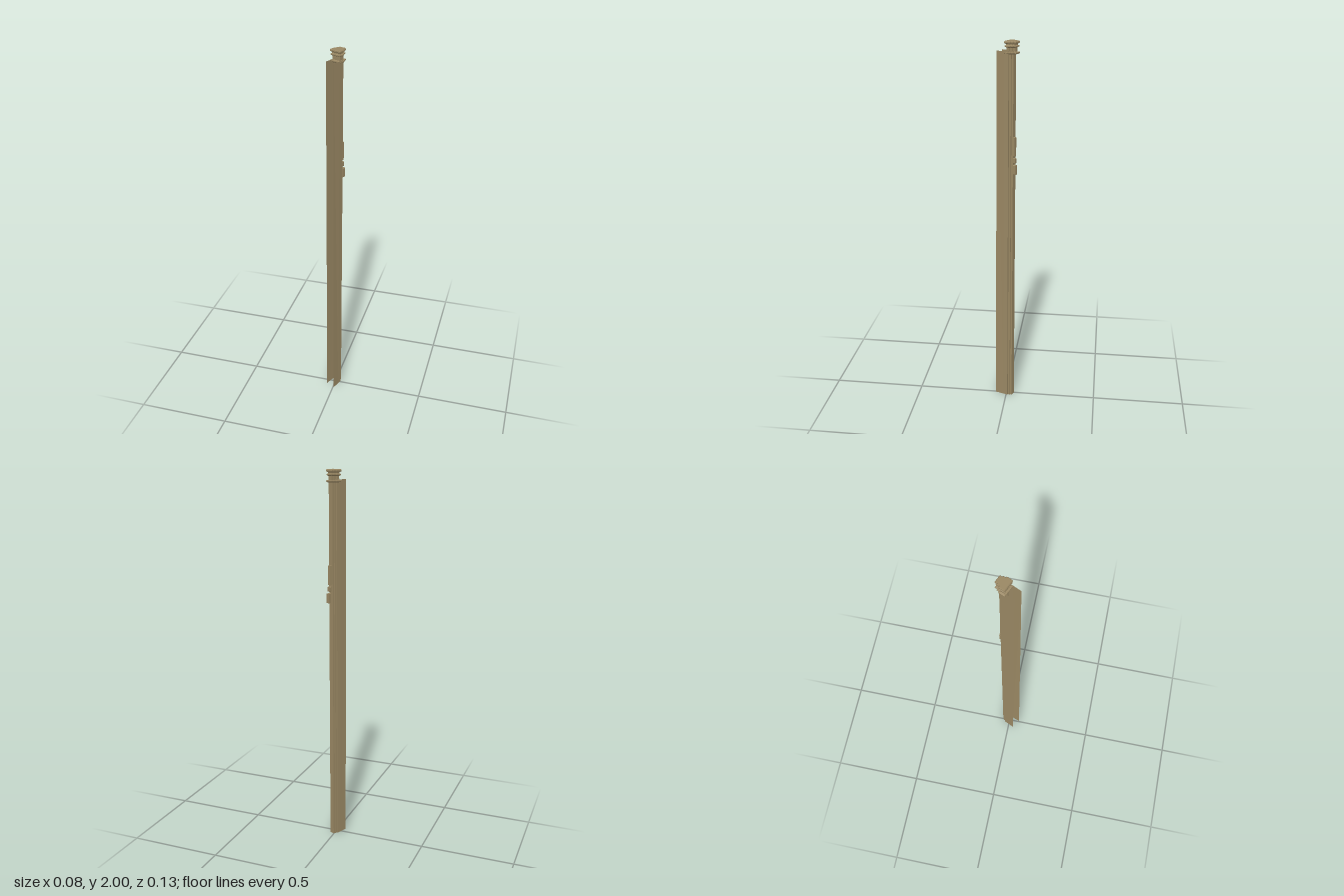
import * as THREE from 'three';

// Plan coordinates: u runs across the post, v towards its open side; the plan is turned in x/z.
const C = 0.916, S = 0.401;
const place = (u, v, y) => [C * u - S * v, y, S * u + C * v];

// Open or closed skin between stacked rings of [u, v] points.
function skin(rings, heights, closed) {
  const pos = [], n = rings[0].length;
  for (let k = 0; k + 1 < rings.length; k++) {
    for (let i = 0; i < (closed ? n : n - 1); i++) {
      const j = (i + 1) % n;
      const a = place(...rings[k][i], heights[k]), b = place(...rings[k][j], heights[k]);
      const c = place(...rings[k + 1][j], heights[k + 1]), d = place(...rings[k + 1][i], heights[k + 1]);
      pos.push(...a, ...b, ...c, ...a, ...c, ...d);
    }
  }
  if (closed) {
    // flat ends
    for (const k of [0, rings.length - 1]) {
      const contour = rings[k].map(([u, v]) => new THREE.Vector2(u, v));
      for (const f of THREE.ShapeUtils.triangulateShape(contour, [])) {
        for (const i of f) pos.push(...place(...rings[k][i], heights[k]));
      }
    }
  }
  const g = new THREE.BufferGeometry();
  g.setAttribute('position', new THREE.Float32BufferAttribute(pos, 3));
  g.computeVertexNormals();
  return g;
}

// Stepped outline of the capital, shrunk by d on every side.
function capRing(d) {
  const mid = -0.0055, front = -0.0015 - d;
  const steps = [[0.031, -0.035], [0.0245, -0.048], [0.0192, -0.0615]];
  const right = [[steps[0][0] - d, front]];
  steps.forEach(([w, v], i) => {
    right.push([w - d, v + d]);
    if (i < 2) right.push([steps[i + 1][0] - d, v + d]);
  });
  const left = right.map(([w, v]) => [mid - w, v]).reverse();
  return [...right.map(([w, v]) => [mid + w, v]), ...left];
}

export function createModel() {
  const group = new THREE.Group();
  const tan = new THREE.MeshStandardMaterial({ color: 0x998763, side: THREE.DoubleSide });
  tan.name = 'tanMetal';

  const add = (name, geometry) => {
    const mesh = new THREE.Mesh(geometry, tan);
    mesh.name = name;
    group.add(mesh);
  };

  // Post: stepped channel leaning slightly forward at the foot
  const section = [[-0.0264, -0.0015], [-0.0264, -0.025], [-0.021, -0.025], [-0.021, -0.036],
    [-0.016, -0.036], [-0.016, -0.046], [0.010, -0.046], [0.010, -0.036],
    [0.016, -0.036], [0.016, -0.025], [0.0235, -0.025], [0.0245, -0.0015]];
  const foot = section.map(([u, v]) => [u, v + 0.007]);
  add('post', skin([foot, section], [0, 1.95], false));

  // Thin side flanges
  const last = section.length - 1;
  add('rightFlange', skin([[foot[0], [-0.0262, 0.046]], [section[0], [-0.026, 0.041]]], [0, 1.95], false));
  add('leftFlange', skin([[foot[last], [0.0285, 0.054]], [section[last], [0.0237, 0.043]]], [0, 1.95], false));

  // Moulded capital
  const profile = [[1.937, 0.003], [1.941, 0], [1.946, 0], [1.949, 0.009], [1.967, 0.009],
    [1.972, 0.002], [1.977, 0.002], [1.980, 0.007], [1.985, 0.007], [1.990, 0], [1.996, 0], [2.0, 0.003]];
  add('capital', skin(profile.map(p => capRing(p[1])), profile.map(p => p[0]), true));

  // Latch on the rear face
  const block = (name, u0, u1, depth, y0, y1) => {
    const ring = d => [[u0 + d, -0.044], [u1 - d, -0.044], [u1 - d, -depth], [u0 + d, -depth]];
    const b = 0.0015;
    add(name, skin([ring(b), ring(0), ring(0), ring(b)], [y0, y0 + b, y1 - b, y1], true));
  };
  block('latchPlate', -0.008, 0.010, 0.053, 1.42, 1.52);
  block('latchCollar', -0.006, 0.009, 0.056, 1.385, 1.41);
  block('latchKnob', -0.004, 0.013, 0.061, 1.325, 1.375);

  return group;
}
